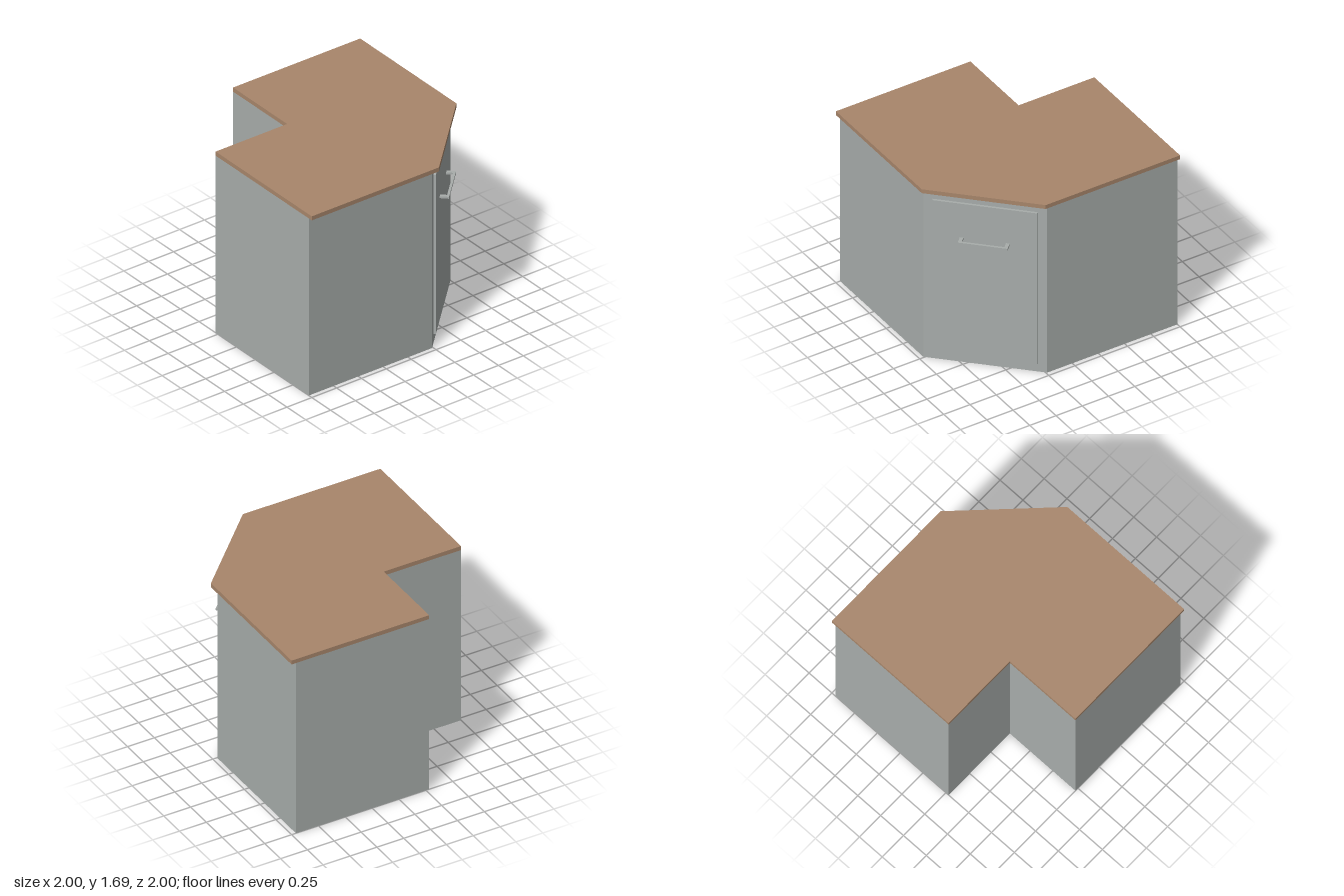
import * as THREE from 'three';

const cabinetGrey = new THREE.MeshStandardMaterial({ color: 0xa8adab });
cabinetGrey.name = 'cabinet grey';
const wood = new THREE.MeshStandardMaterial({ color: 0xa8866b });
wood.name = 'worktop wood';

// Corner-unit footprint: two back arms and a diagonal front
function slab(name, front, cut, bottom, top, material) {
  const outline = [
    [-1, -0.28], [-0.28, -0.28], [-0.28, -1], [front, -1],
    [front, cut], [cut, front], [-1, front],
  ].map(([x, z]) => new THREE.Vector2(x, z));
  const geometry = new THREE.ExtrudeGeometry(new THREE.Shape(outline), {
    depth: top - bottom, bevelEnabled: false,
  });
  geometry.rotateX(Math.PI / 2).translate(0, top, 0);
  const mesh = new THREE.Mesh(geometry, material);
  mesh.name = name;
  return mesh;
}

function box(name, w, h, d, x, y, z) {
  const mesh = new THREE.Mesh(new THREE.BoxGeometry(w, h, d), cabinetGrey);
  mesh.position.set(x, y, z);
  mesh.name = name;
  return mesh;
}

export function createModel() {
  const model = new THREE.Group();
  model.name = 'cornerCabinet';
  model.add(slab('cabinetBody', 0.96, 0.24, 0, 1.652, cabinetGrey));
  model.add(slab('worktop', 1, 0.28, 1.652, 1.69, wood));

  // Door on the diagonal face; local +z points out of the cabinet
  const door = new THREE.Group();
  door.name = 'door';
  door.position.set(0.6, 0, 0.6);
  door.rotation.y = Math.PI / 4;
  door.add(box('doorPanel', 0.862, 1.485, 0.02, 0, 0.8275, 0.01));

  // Bar handle on two posts
  const handleY = 1.23;
  door.add(box('handleBar', 0.41, 0.018, 0.02, 0, handleY, 0.086));
  for (const side of [-1, 1]) {
    door.add(box('handlePost', 0.03, 0.018, 0.056, side * 0.19, handleY, 0.048));
  }
  model.add(door);
  return model;
}
